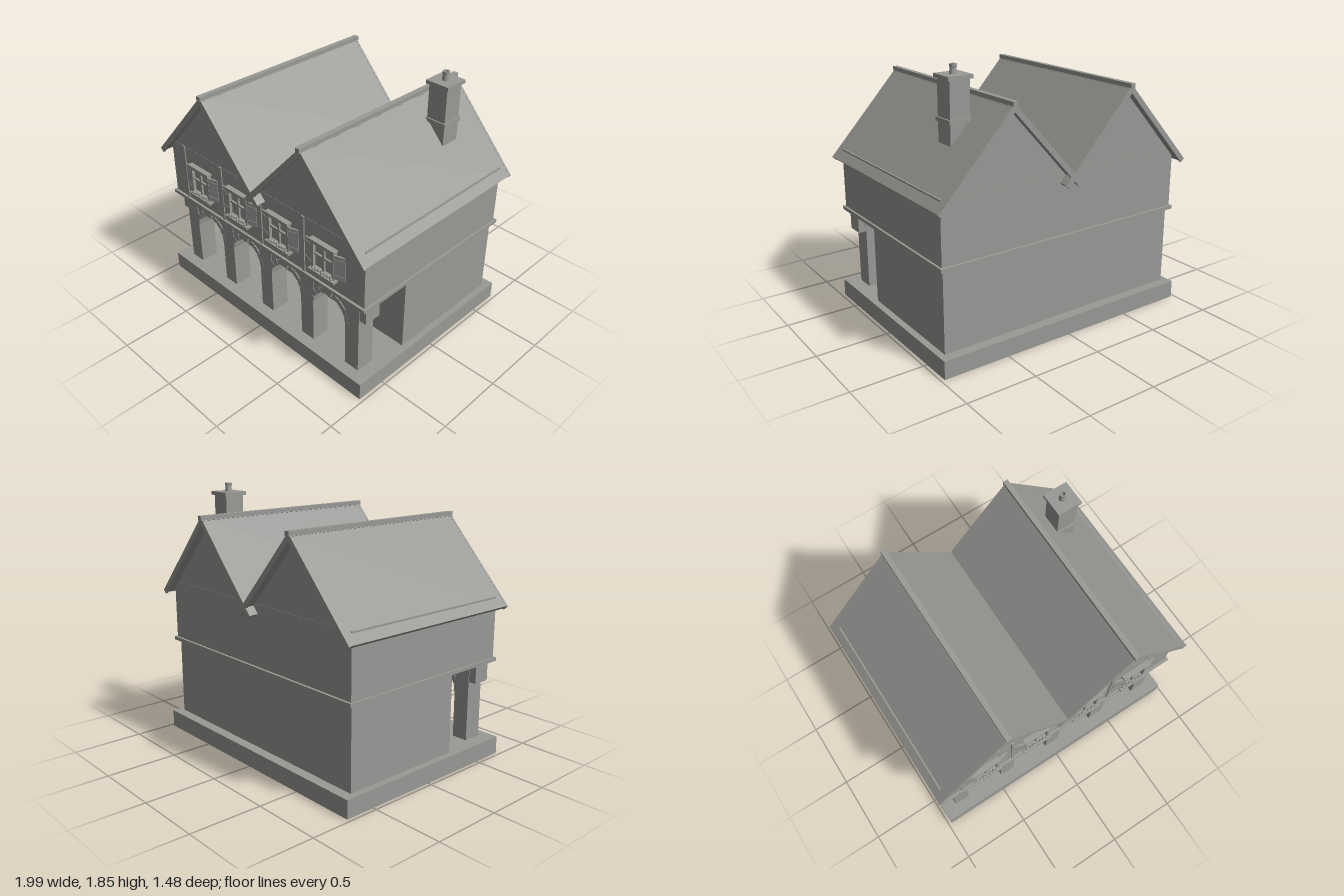
import * as THREE from 'three';

export function createModel() {
  const model = new THREE.Group();
  const stone = new THREE.MeshStandardMaterial({ color: 0x999996 });
  stone.name = 'stone grey';

  const add = (name, geo, parent = model) => {
    const m = new THREE.Mesh(geo, stone);
    m.name = name;
    parent.add(m);
    return m;
  };
  // Box given by its extents on each axis
  const box = (name, x0, x1, y0, y1, z0, z1, parent = model) => {
    const m = add(name, new THREE.BoxGeometry(x1 - x0, y1 - y0, z1 - z0), parent);
    m.position.set((x0 + x1) / 2, (y0 + y1) / 2, (z0 + z1) / 2);
    return m;
  };
  // Flat outline pulled from z0 to z1
  const prism = (name, shape, z0, z1, parent = model) => {
    const geo = new THREE.ExtrudeGeometry(shape, { depth: z1 - z0, bevelEnabled: false, curveSegments: 20 });
    const m = add(name, geo, parent);
    m.position.z = z0;
    return m;
  };
  const outline = pts => new THREE.Shape(pts.map(p => new THREE.Vector2(p[0], p[1])));

  // Base, ground floor room, floor band and upper storey
  box('base', -0.975, 0.975, 0, 0.125, -0.715, 0.715);
  box('groundFloor', -0.93, 0.93, 0.125, 0.69, -0.645, 0.255);
  box('door', -0.12, 0.12, 0.125, 0.475, 0.255, 0.263);
  box('floorBand', -0.96, 0.96, 0.685, 0.71, -0.68, 0.68);
  box('upperStorey', -0.945, 0.945, 0.71, 1.133, -0.662, 0.662);

  // Arcade wall with four round arches
  const bays = [-0.613, -0.204, 0.204, 0.613];
  const spring = 0.455, radius = 0.149;
  const wall = new THREE.Shape();
  wall.moveTo(-0.93, 0.69);
  wall.lineTo(-0.93, 0.55);
  wall.lineTo(-0.82, 0.55);
  wall.lineTo(-0.82, spring);
  for (const x of bays) {
    wall.lineTo(x - radius, spring);
    wall.absarc(x, spring, radius, Math.PI, 0, true);
  }
  wall.lineTo(0.82, spring);
  wall.lineTo(0.82, 0.55);
  wall.lineTo(0.93, 0.55);
  wall.lineTo(0.93, 0.69);
  prism('arcadeWall', wall, 0.503, 0.627);

  // Pillars
  for (let i = -2; i <= 2; i++) {
    const x = i * 0.409;
    box('pillar', x - 0.058, x + 0.058, 0.125, 0.652, 0.498, 0.632);
  }

  // Arch stones, the middle one a taller keystone
  const count = 9;
  for (const x of bays) {
    for (let i = 0; i < count; i++) {
      const key = i === (count - 1) / 2;
      const a0 = (i + 0.04) * Math.PI / count, a1 = (i + 0.96) * Math.PI / count;
      const r0 = 0.145, r1 = key ? 0.192 : 0.182;
      const at = (r, a) => [x + r * Math.cos(a), spring + r * Math.sin(a)];
      const grow = key ? 0.02 : 0.006;
      prism(key ? 'keystone' : 'archStone',
        outline([at(r0, a0), at(r1, a0), at(r1, a1), at(r0, a1)]),
        0.5 - grow / 2, 0.63 + grow / 2);
    }
  }

  // Timber posts on the upper front
  for (const x of [-0.8, -0.39, 0.012, 0.42]) {
    box('timberPost', x - 0.011, x + 0.011, 0.71, 1.133, 0.66, 0.67);
  }

  // Windows with shutters and flower boxes
  const bloom = new THREE.IcosahedronGeometry(0.012, 1);
  for (const x of bays) {
    const win = new THREE.Group();
    win.name = 'window';
    win.position.set(x, 0, 0);
    model.add(win);
    box('pane', -0.09, 0.09, 0.8, 1.015, 0.66, 0.668, win);
    for (const s of [-1, 1]) {
      box('windowJamb', s * 0.09 - 0.01, s * 0.09 + 0.01, 0.8, 1.015, 0.66, 0.69, win);
    }
    box('windowHead', -0.1, 0.1, 0.995, 1.015, 0.66, 0.69, win);
    box('windowFoot', -0.1, 0.1, 0.8, 0.82, 0.66, 0.69, win);
    box('mullion', -0.008, 0.008, 0.81, 1.0, 0.66, 0.682, win);
    box('transom', -0.085, 0.085, 0.912, 0.926, 0.66, 0.682, win);
    box('lintel', -0.11, 0.11, 1.014, 1.03, 0.66, 0.7, win);
    box('sill', -0.112, 0.112, 0.787, 0.805, 0.66, 0.708, win);
    box('flowerBox', -0.085, 0.085, 0.773, 0.79, 0.66, 0.698, win);
    for (let i = 0; i < 7; i++) {
      const f = add('flower', bloom, win);
      f.position.set(-0.078 + i * 0.026, 0.81 + (i % 3) * 0.005, 0.692);
    }
    for (const s of [-1, 1]) {
      const shutter = new THREE.Group();
      shutter.name = 'shutter';
      shutter.position.set(s * 0.1, 0.91, 0.688);
      shutter.rotation.y = s * 0.28;
      win.add(shutter);
      const a = Math.min(0, s * 0.077), b = Math.max(0, s * 0.077);
      box('shutterPanel', a, b, -0.09, 0.09, -0.012, 0, shutter);
      for (const y of [-0.06, 0.06]) {
        box('shutterBatten', a, b, y - 0.006, y + 0.006, 0, 0.003, shutter);
      }
    }
  }

  // Twin gabled roofs
  const apex = 1.645, slope = Math.atan(1.09), length = 0.782;
  for (const rx of [-0.465, 0.465]) {
    prism('gable', outline([[rx - 0.455, 1.133], [rx + 0.455, 1.133], [rx, apex - 0.018]]), -0.66, 0.66);
    box('ridgeCap', rx - 0.018, rx + 0.018, 1.627, 1.657, -0.738, 0.738);
    for (const s of [-1, 1]) {
      const side = new THREE.Group();
      side.name = 'roofSide';
      side.position.set(rx, apex, 0);
      side.rotation.z = -s * slope;
      model.add(side);
      const span = (name, l0, l1, t0, t1, z0, z1) =>
        box(name, Math.min(s * l0, s * l1), Math.max(s * l0, s * l1), t0, t1, z0, z1, side);
      span('roofSlab', 0, length, -0.028, 0, -0.715, 0.715);
      span('bargeboard', 0, length + 0.004, -0.036, 0.001, 0.713, 0.729);
      span('bargeboard', 0, length + 0.004, -0.036, 0.001, -0.729, -0.713);
      // Rafter tails under the outer eaves
      if (s === Math.sign(rx)) {
        for (let i = -4; i <= 4; i++) {
          const z = i * 0.138;
          span('rafterTail', 0.66, length - 0.012, -0.042, -0.025, z - 0.01, z + 0.01);
        }
      }
    }
  }

  // Chimney
  const chimney = new THREE.Group();
  chimney.name = 'chimney';
  chimney.position.set(0.656, 0, -0.364);
  model.add(chimney);
  const block = (name, h, y0, y1) => box(name, -h, h, y0, y1, -h, h, chimney);
  block('chimneyStack', 0.071, 1.3, 1.765);
  block('chimneyBand', 0.081, 1.495, 1.522);
  block('chimneyCap', 0.088, 1.76, 1.785);
  const pot = [[0.026, 1.78], [0.02, 1.825], [0.024, 1.828], [0.024, 1.845], [0.014, 1.845], [0.014, 1.787], [0, 1.787]];
  const potGeo = new THREE.LatheGeometry(pot.map(p => new THREE.Vector2(p[0], p[1])), 16).toNonIndexed();
  potGeo.computeVertexNormals();
  add('chimneyPot', potGeo, chimney);

  return model;
}
